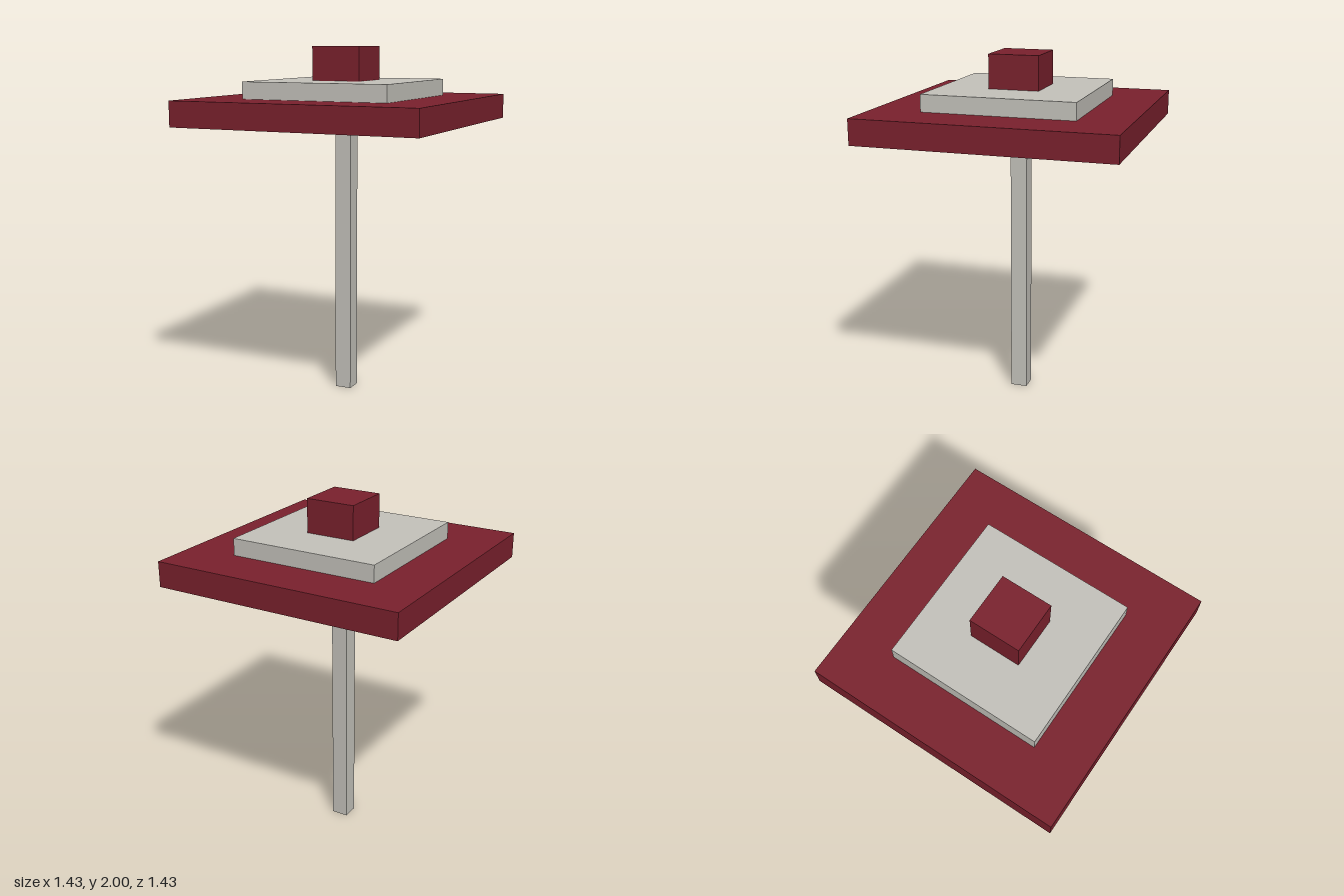
import * as THREE from 'three';

export function createModel() {
  const group = new THREE.Group();
  const red = new THREE.MeshStandardMaterial({ color: 0x7b212d });
  red.name = 'dark red';
  const grey = new THREE.MeshStandardMaterial({ color: 0xc5c3bc });
  grey.name = 'pale grey';

  // Square blocks stacked from the ground up, in units of 1/21
  const unit = 1 / 21;
  const parts = [
    ['post', 2, 33, grey],
    ['canopy', 30, 3, red],
    ['canopyTier', 18, 2, grey],
    ['cap', 6, 4, red],
  ];
  let base = 0;
  for (const [name, width, height, material] of parts) {
    const w = width * unit, h = height * unit;
    const mesh = new THREE.Mesh(new THREE.BoxGeometry(w, h, w), material);
    mesh.name = name;
    mesh.position.y = base + h / 2;
    group.add(mesh);
    base += h;
  }
  return group;
}
